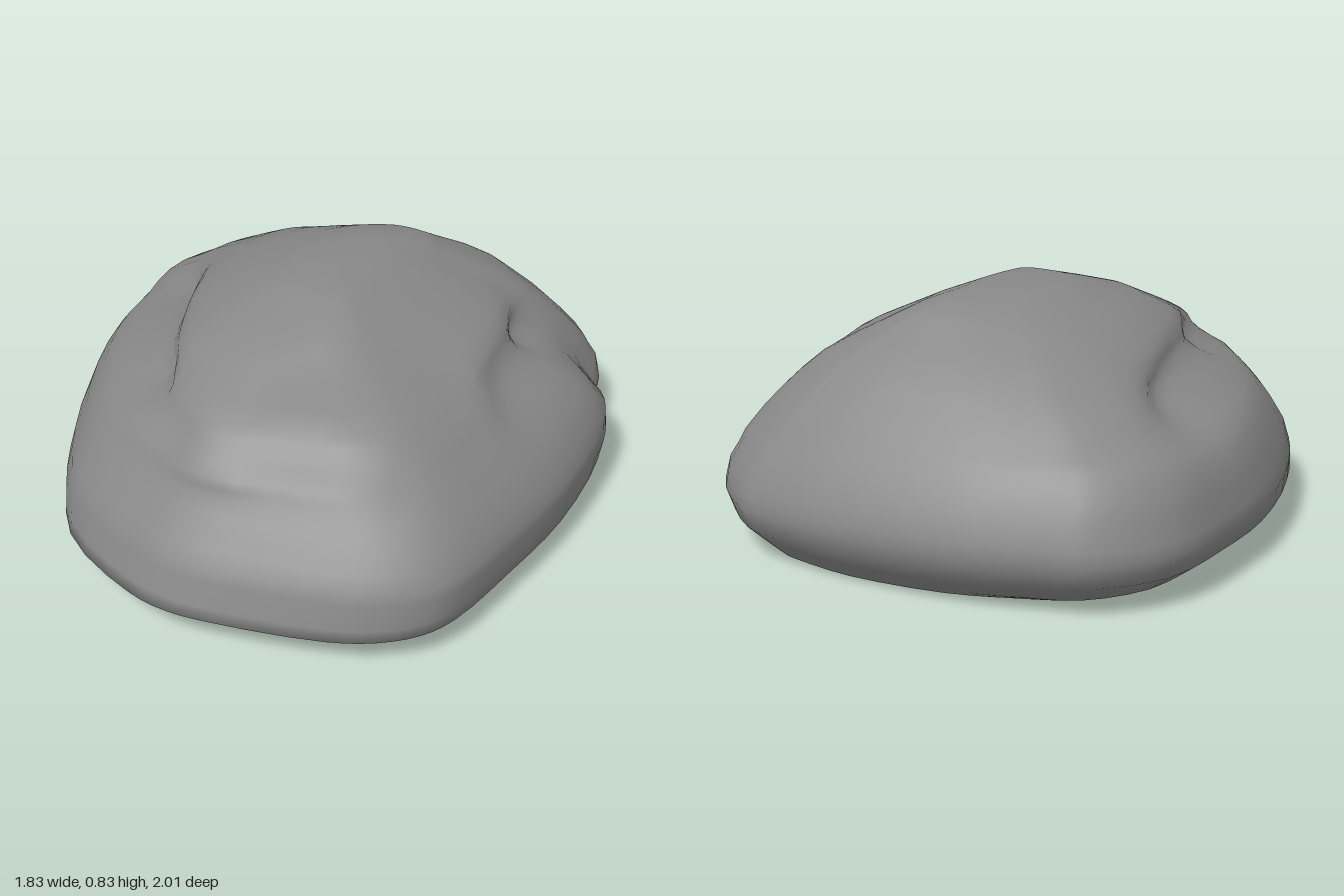
import * as THREE from 'three';

// Widest outline of the boulder, seen from above: [x, z]
const OUTLINE = [
  [-0.92, -0.3], [-0.82, -0.54], [-0.68, -0.65], [-0.42, -0.81], [0, -0.96], [0.25, -1], [0.34, -1], [0.58, -0.88],
  [0.65, -0.77], [0.75, -0.64], [0.82, -0.51], [0.9, -0.13], [0.91, 0.2], [0.9, 0.5], [0.86, 0.62], [0.77, 0.73],
  [0.64, 0.82], [0.3, 0.96], [0.15, 1], [0, 1], [-0.36, 0.89], [-0.6, 0.63], [-0.8, 0.27], [-0.88, -0.01],
];

// Reach of each level: [y, -x, +x, -z, +z]
const LEVELS = [
  [0, 0.68, 0.78, 0.86, 0.77], [0.03, 0.78, 0.83, 0.89, 0.88], [0.11, 0.89, 0.9, 0.97, 1], [0.19, 0.92, 0.91, 1, 0.97],
  [0.27, 0.9, 0.91, 0.98, 0.94], [0.36, 0.87, 0.86, 0.93, 0.87], [0.44, 0.82, 0.79, 0.87, 0.81], [0.5, 0.73, 0.73, 0.82, 0.79],
  [0.56, 0.65, 0.67, 0.76, 0.73], [0.62, 0.55, 0.59, 0.7, 0.66], [0.68, 0.45, 0.47, 0.62, 0.53], [0.74, 0.33, 0.34, 0.52, 0.4],
  [0.79, 0.2, 0.23, 0.44, 0.24], [0.825, 0.1, 0.15, 0.26, 0.12],
];

// Creases worn into the flanks: start, end, radius, depth
const v = (x, y, z) => new THREE.Vector3(x, y, z);
const CREASES = [
  [v(-0.66, 0.54, 0), v(-0.28, 0.55, 0.58), 0.11, 0.11],
  [v(-0.28, 0.55, 0.58), v(-0.05, 0.56, 0.76), 0.09, 0.04],
  [v(0.58, 0.55, -0.48), v(0.66, 0.52, -0.15), 0.11, 0.08],
  [v(0.66, 0.3, -0.77), v(0.6, 0.52, -0.5), 0.09, 0.05],
  [v(0.28, 0.68, 0.4), v(0.52, 0.62, 0.05), 0.12, 0.05],
  [v(0.62, 0.47, 0.46), v(0.35, 0.56, 0.66), 0.09, 0.04],
];

// Push a point towards the vertical axis near each crease
function wear(p) {
  const near = v(0, 0, 0);
  let push = 0;
  for (const [a, b, radius, depth] of CREASES) {
    new THREE.Line3(a, b).closestPointToPoint(p, true, near);
    push += depth * Math.exp(-((near.distanceTo(p) / radius) ** 2));
  }
  const r = Math.hypot(p.x, p.z);
  const k = r > 0.01 ? 1 - Math.min(push, 0.14) / r : 1;
  return v(p.x * k, p.y, p.z * k);
}

function buildRings(sides, steps) {
  const curve = new THREE.CatmullRomCurve3(OUTLINE.map(([x, z]) => v(x, 0, z)), true, 'centripetal');
  const outline = Array.from({ length: sides }, (_, j) => curve.getPoint(j / sides));
  const rings = [];
  for (let i = 0; i < (LEVELS.length - 1) * steps + 1; i++) {
    const n = Math.floor(i / steps), t = (i % steps) / steps;
    const next = LEVELS[Math.min(n + 1, LEVELS.length - 1)];
    const [y, left, right, back, front] = LEVELS[n].map((value, k) => value + (next[k] - value) * t);
    rings.push(outline.map((p) => wear(v(
      p.x < 0 ? (p.x / 0.92) * left : (p.x / 0.91) * right, y, p.z < 0 ? p.z * back : p.z * front))));
  }
  return rings;
}

function geometryFrom(points, index) {
  const g = new THREE.BufferGeometry().setFromPoints(points);
  g.setIndex(index);
  g.computeVertexNormals();
  return g;
}

export function createModel() {
  const stone = new THREE.MeshStandardMaterial({ name: 'stone grey', color: 0x888888 });
  const sides = 72;
  const rings = buildRings(sides, 2);
  const group = new THREE.Group();
  group.name = 'boulder';

  // Rounded body, closed by a low crown
  const points = rings.flat();
  const crown = points.length;
  points.push(v(0.02, 0.83, -0.06));
  const index = [];
  for (let i = 0; i < rings.length; i++) {
    for (let j = 0; j < sides; j++) {
      const a = i * sides + j, b = i * sides + ((j + 1) % sides);
      if (i === rings.length - 1) index.push(a, crown, b);
      else index.push(a, a + sides, b, a + sides, b + sides, b);
    }
  }
  const body = new THREE.Mesh(geometryFrom(points, index), stone);
  body.name = 'rockBody';

  // Flat underside
  const baseIndex = [];
  for (let j = 0; j < sides; j++) baseIndex.push(sides, j, (j + 1) % sides);
  const base = new THREE.Mesh(geometryFrom([...rings[0], v(0, 0, 0)], baseIndex), stone);
  base.name = 'flatBase';

  group.add(body, base);
  return group;
}
